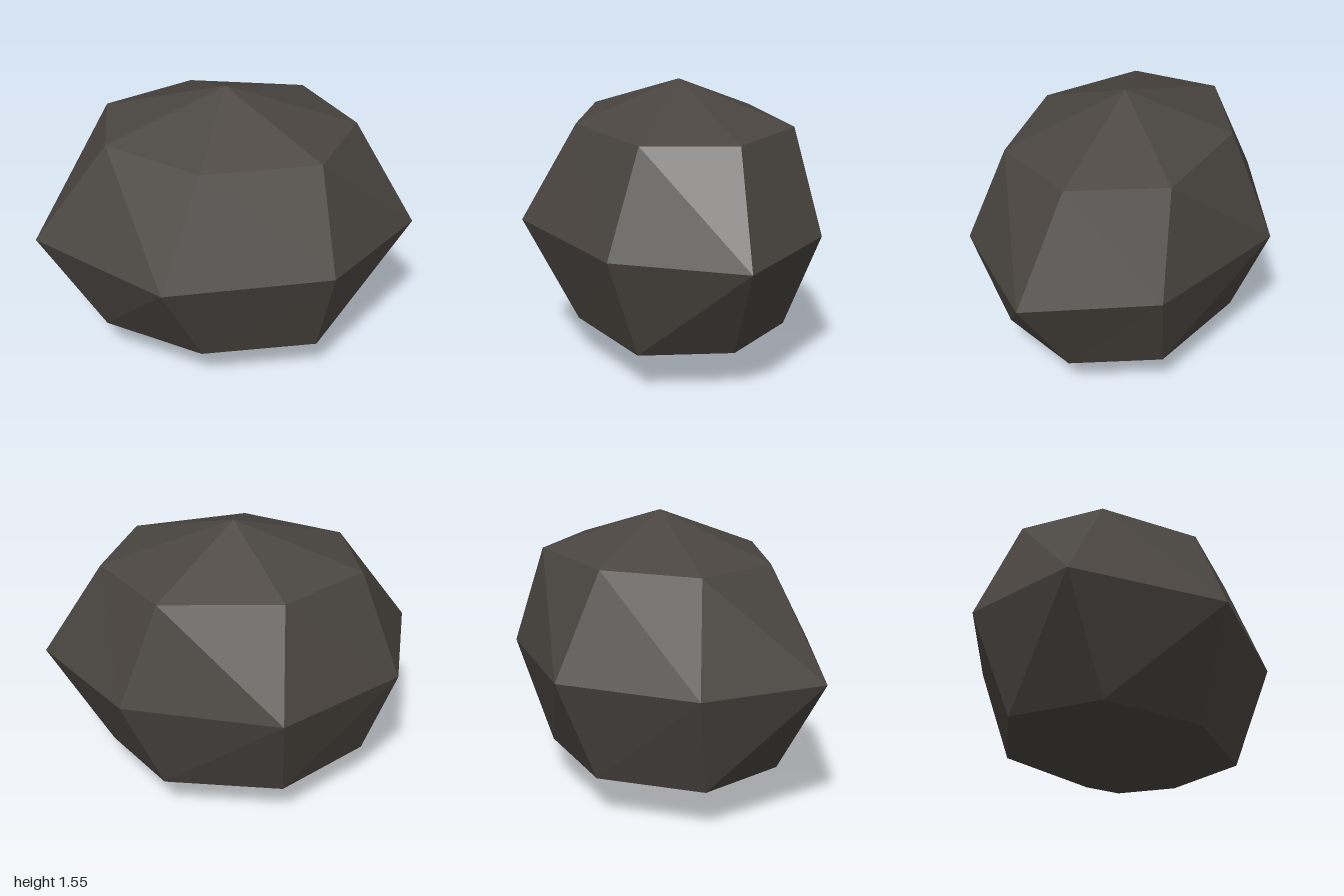
import * as THREE from 'three';

// Horizontal cross-sections of the boulder: height and [x, z] corners,
// running from +x round through the back (-z)
const LOWER = { y: 0.23, pts: [[0.65, -0.09], [0.36, -0.5], [-0.27, -0.58], [-0.73, -0.21], [-0.65, 0.3], [-0.1, 0.53], [0.51, 0.39]] };
const WAIST = { y: 0.78, pts: [[1, -0.03], [0.57, -0.61], [-0.25, -0.8], [-0.88, -0.35], [-1, 0.33], [-0.27, 0.79], [0.59, 0.57]] };
const UPPER = { y: 1.33, pts: [[0.67, -0.1], [0.37, -0.53], [-0.26, -0.54], [-0.68, -0.21], [-0.61, 0.26], [-0.1, 0.52], [0.5, 0.37]] };
const PEAK = [-0.02, 1.55, -0.03];
const BASE = [-0.02, 0, -0.03];

const corner = (ring, i) => {
  const [x, z] = ring.pts[i % ring.pts.length];
  return [x, ring.y, z];
};

function boulderGeometry() {
  const positions = [];
  const tri = (a, b, c) => positions.push(...a, ...b, ...c);

  for (let i = 0; i < WAIST.pts.length; i++) {
    const [l0, l1] = [corner(LOWER, i), corner(LOWER, i + 1)];
    const [w0, w1] = [corner(WAIST, i), corner(WAIST, i + 1)];
    const [u0, u1] = [corner(UPPER, i), corner(UPPER, i + 1)];
    // Underside, lower flank, upper flank, crown
    tri(l1, l0, BASE);
    tri(w0, l0, w1);
    tri(l0, l1, w1);
    tri(w0, w1, u0);
    tri(w1, u1, u0);
    tri(u0, u1, PEAK);
  }

  // Unshared corners give every facet its own flat normal
  const geometry = new THREE.BufferGeometry();
  geometry.setAttribute('position', new THREE.Float32BufferAttribute(positions, 3));
  geometry.computeVertexNormals();
  return geometry;
}

export function createModel() {
  const stone = new THREE.MeshStandardMaterial({ color: 0x4a4540 });
  stone.name = 'darkStone';
  stone.flatShading = true;

  const boulder = new THREE.Mesh(boulderGeometry(), stone);
  boulder.name = 'boulder';

  const model = new THREE.Group();
  model.name = 'rock';
  model.add(boulder);
  return model;
}
